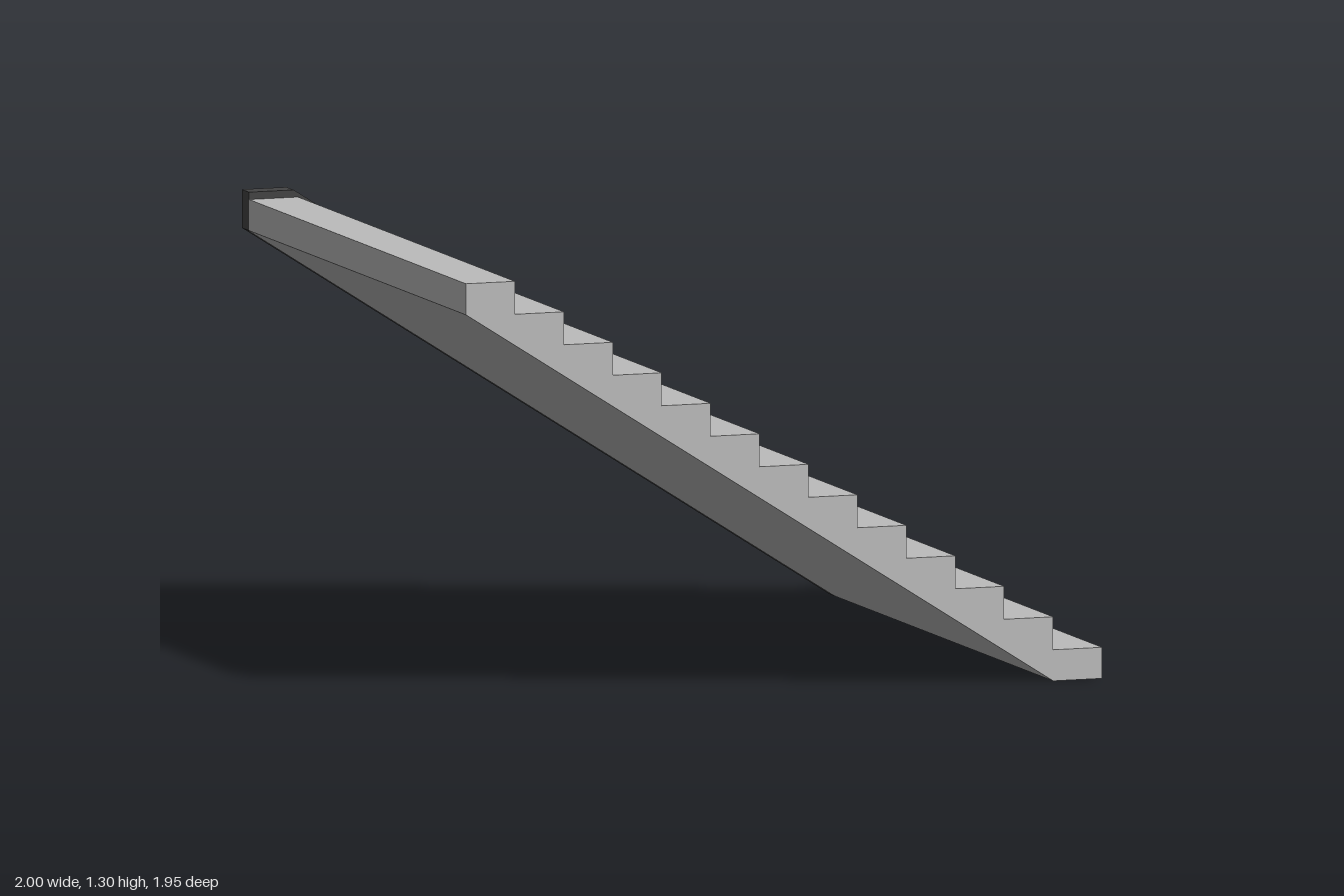
import * as THREE from 'three';

const STEPS = 13, RUN = 2 / STEPS, RISE = 0.0985, FIRST = 0.093;
const BACK = -0.975, SPLIT = -0.912, FRONT = 0.975;
const UNDER = RISE * (STEPS - 1); // underside height at the upper end

// Extrude a side profile (x, y) between two z positions
function slab(points, z0, z1, material, name) {
  const shape = new THREE.Shape(points.map(([x, y]) => new THREE.Vector2(x, y)));
  const geometry = new THREE.ExtrudeGeometry(shape, { depth: z1 - z0, bevelEnabled: false });
  geometry.translate(0, 0, z0);
  const mesh = new THREE.Mesh(geometry, material);
  mesh.name = name;
  return mesh;
}

export function createModel() {
  const stone = new THREE.MeshStandardMaterial({ color: 0xbbbbbb });
  stone.name = 'light grey';
  const dark = new THREE.MeshStandardMaterial({ color: 0x444444 });
  dark.name = 'dark grey';

  const group = new THREE.Group();
  group.name = 'staircase';

  // Stepped flight with a sloping underside, flat beneath the lowest step
  const profile = [[-1, UNDER], [1 - RUN, 0], [1, 0]];
  for (let i = 0; i < STEPS; i++) {
    const y = FIRST + i * RISE;
    profile.push([1 - i * RUN, y], [1 - (i + 1) * RUN, y]);
  }
  group.add(slab(profile, SPLIT, FRONT, stone, 'steps'));

  // Side board along the back, level at both ends
  group.add(slab([
    [-1, UNDER], [1 - RUN, 0], [1, 0],
    [1, 0.206], [1 - RUN, 0.206], [-0.86, 1.297], [-1, 1.297],
  ], BACK, SPLIT, dark, 'sideBoard'));

  return group;
}
